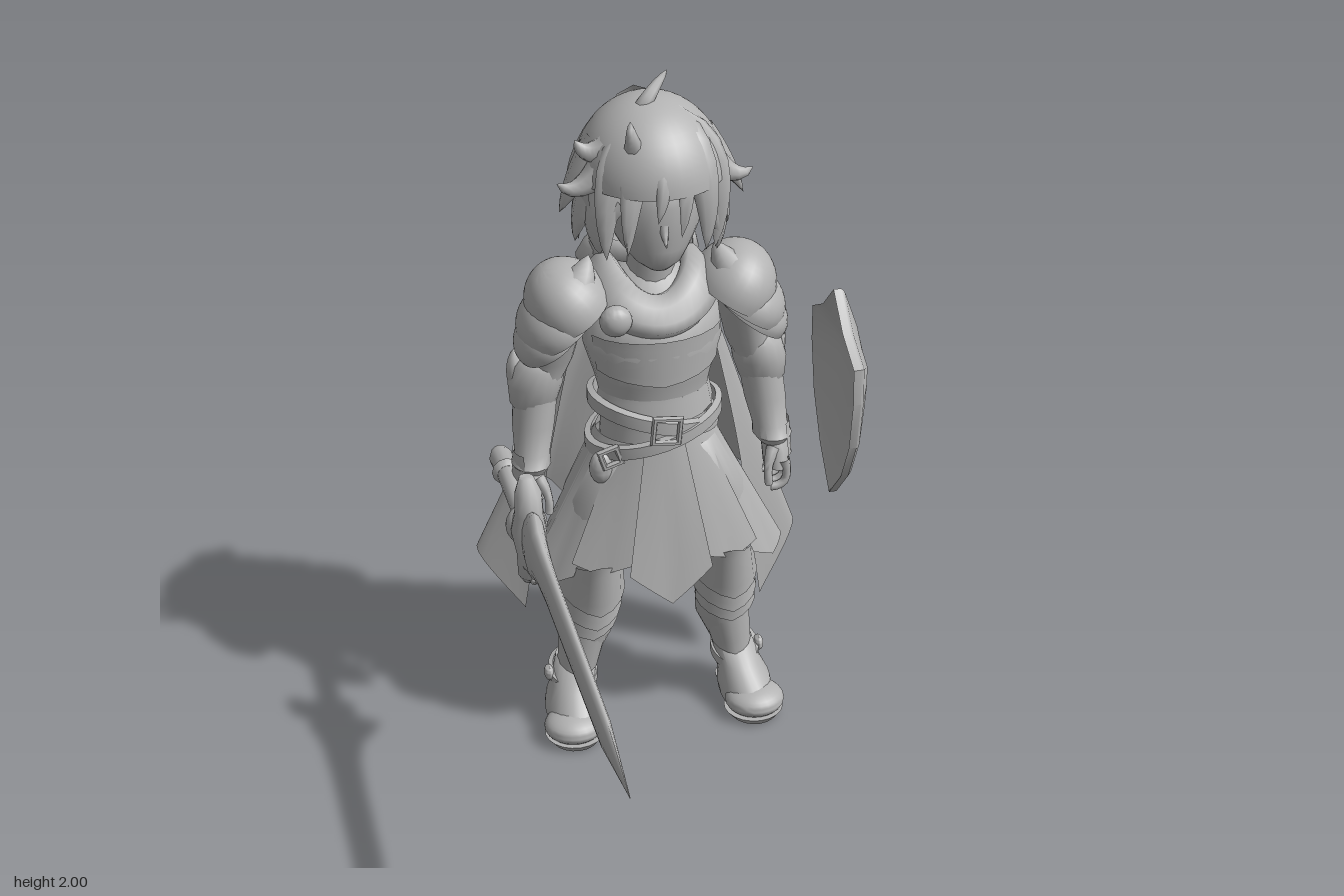
import * as THREE from 'three';
import { toCreasedNormals } from 'three/addons/utils/BufferGeometryUtils.js';

const CX = -0.04; // body centre line
const V = (x, y, z) => new THREE.Vector3(x, y, z);

export function createModel() {
  const model = new THREE.Group();
  const grey = new THREE.MeshStandardMaterial({ color: 0xb3b3b3, side: THREE.DoubleSide });
  grey.name = 'clayGrey';

  function part(name, geo, crease = 0.9) {
    const mesh = new THREE.Mesh(toCreasedNormals(geo, crease), grey);
    mesh.name = name;
    model.add(mesh);
  }

  // Surface through rows of points
  function surface(rows) {
    const n = rows[0].length, pos = [], idx = [];
    rows.forEach(r => r.forEach(p => pos.push(p.x, p.y, p.z)));
    for (let i = 0; i < rows.length - 1; i++) for (let j = 0; j < n - 1; j++) {
      const a = i * n + j, c = a + n;
      idx.push(a, c, a + 1, a + 1, c, c + 1);
    }
    const g = new THREE.BufferGeometry();
    g.setAttribute('position', new THREE.Float32BufferAttribute(pos, 3));
    g.setIndex(idx);
    g.computeVertexNormals();
    return g;
  }

  // Closed solid from horizontal ellipses [x, y, z, rx, rz]
  function loft(list, seg = 20, ox = 0, s = 1) {
    const r = list[0][1] > list[list.length - 1][1] ? [...list].reverse() : list;
    const a = r[0], b = r[r.length - 1];
    const all = [[a[0], a[1], a[2], 0, 0], ...r, [b[0], b[1], b[2], 0, 0]];
    return surface(all.map(([x, y, z, rx, rz]) => Array.from({ length: seg + 1 }, (_, j) => {
      const t = j / seg * Math.PI * 2;
      return V(ox + s * x + rx * Math.cos(t), y, z + rz * Math.sin(t));
    })));
  }

  // Flat strap around an ellipse, tilted sideways (tx) and front to back (tz)
  function band(x, y, z, rx, rz, h, th, tx = 0, tz = 0) {
    const prof = [[0, -h / 2], [th, -h / 2.6], [th, h / 2.6], [0, h / 2], [0, -h / 2]];
    return surface(prof.map(([o, dy]) => Array.from({ length: 33 }, (_, j) => {
      const t = -j / 32 * Math.PI * 2, c = Math.cos(t), k = Math.sin(t);
      return V(x + (rx + o) * c, y + dy + tx * rx * c + tz * rz * k, z + (rz + o) * k);
    })));
  }

  // Curved plate between angles a0..a1 (0 = front); the middle of top and hem may be pointed
  function plate(x, z, a0, a1, [y0, rx0, rz0], [y1, rx1, rz1], up, down, dx = 0) {
    const rows = [];
    for (let i = 0; i <= 5; i++) {
      const t = i / 5, row = [];
      for (let j = 0; j <= 8; j++) {
        const a = a0 + (a1 - a0) * j / 8, k = 1 - Math.abs(j - 4) / 4;
        row.push(V(x + dx * t + (rx0 + (rx1 - rx0) * t) * Math.sin(a),
          (y0 + up * k) * (1 - t) + (y1 - down * k) * t,
          z + (rz0 + (rz1 - rz0) * t) * Math.cos(a)));
      }
      rows.push(row);
    }
    return surface(rows);
  }

  // Tapered curved lock or finger, optionally flattened along a direction
  function lock(p0, p1, p2, w, tip = 0, flat = V(0, 0, 0)) {
    const curve = new THREE.QuadraticBezierCurve3(V(...p0), V(...p1), V(...p2));
    const g = new THREE.TubeGeometry(curve, 8, w, 8), p = g.attributes.position;
    for (let i = 0; i < p.count; i++) {
      const t = Math.floor(i / 9) / 8, c = curve.getPointAt(t);
      const o = V(p.getX(i), p.getY(i), p.getZ(i)).sub(c).multiplyScalar(Math.max(tip, Math.pow(1 - t, 0.7)));
      o.addScaledVector(flat, -0.65 * o.dot(flat)).add(c);
      p.setXYZ(i, o.x, o.y, o.z);
    }
    return g;
  }
  const ball = (x, y, z, rx, ry, rz) => new THREE.SphereGeometry(1, 24, 16).scale(rx, ry, rz).translate(x, y, z);

  // Head and neck
  part('head', loft([[0, 1.505, -0.465, 0.03, 0.03], [0, 1.53, -0.48, 0.065, 0.07], [0, 1.57, -0.51, 0.098, 0.105],
    [0, 1.62, -0.53, 0.125, 0.135], [0, 1.7, -0.54, 0.14, 0.145], [0, 1.8, -0.55, 0.13, 0.14]], 28, CX), 1.5);
  part('nose', lock([CX, 1.65, -0.405], [CX, 1.61, -0.385], [CX, 1.60, -0.37], 0.015));
  part('neck', loft([[0, 1.4, -0.58, 0.07, 0.07], [0, 1.58, -0.55, 0.06, 0.06]], 16, CX));
  for (const s of [-1, 1]) part('ear', ball(CX + s * 0.14, 1.64, -0.55, 0.02, 0.04, 0.03));

  // Hair: skull cap, hanging locks, parted fringe and stray tufts
  part('hairCap', new THREE.SphereGeometry(1, 32, 14, 0, Math.PI * 2, 0, Math.PI * 0.48).scale(0.203, 0.22, 0.222).translate(CX, 1.742, -0.555), 1.5);
  part('hairBack', new THREE.SphereGeometry(1, 28, 10, Math.PI - 0.4, Math.PI + 0.8, Math.PI * 0.45, Math.PI * 0.3)
    .scale(0.203, 0.22, 0.222).translate(CX, 1.742, -0.555), 1.5);
  const hang = (a, y, r0, r1, r2, drop, w) => {
    const S = Math.sin(a), C = Math.cos(a), at = (r, h) => [CX + S * r, h, -0.56 + C * r];
    part('hairLock', lock(at(r0, y), at(r1, y - drop * 0.5), at(r2, y - drop), w, 0, V(S, 0, C)), 1.5);
  };
  for (let i = 0; i < 11; i++) hang(1.05 + i * 0.419, 1.71, 0.165, 0.215, 0.185 + (i * 7 % 5) * 0.01, 0.175 - (i * 3 % 4) * 0.012, 0.072);
  for (const a of [1.5, 2.3, 4.0, 4.8]) hang(a, 1.82, 0.15, 0.225, 0.255, 0.16, 0.075);
  const front = V(0, 0, 1);
  for (const [a, b, x, y, z, w] of [ // root x, middle x, tip x, tip y, tip z, width
    [-0.02, -0.1, -0.105, 1.59, -0.37, 0.06], [0.01, 0.0, -0.03, 1.69, -0.335, 0.05], [0.03, 0.07, 0.035, 1.64, -0.345, 0.045],
    [0.05, 0.13, 0.11, 1.58, -0.38, 0.065], [-0.04, -0.165, -0.15, 1.555, -0.43, 0.065], [0.06, 0.185, 0.15, 1.555, -0.44, 0.065]])
    part('fringeLock', lock([CX + a, 1.88, -0.51], [CX + b, 1.85, z + 0.025], [CX + x, y, z], w, 0, front), 1.5);
  for (const [p, q, t, w] of [
    [[0.08, 1.82, -0.5], [0.17, 1.71, -0.48], [0.225, 1.76, -0.48], 0.055],
    [[-0.16, 1.82, -0.5], [-0.25, 1.71, -0.48], [-0.31, 1.77, -0.48], 0.055],
    [[-0.16, 1.85, -0.5], [-0.23, 1.82, -0.5], [-0.255, 1.88, -0.5], 0.045],
    [[-0.11, 1.86, -0.43], [-0.13, 1.93, -0.38], [-0.12, 1.945, -0.43], 0.03],
    [[-0.04, 1.86, -0.7], [-0.03, 1.79, -0.78], [-0.03, 1.79, -0.825], 0.07],
    [[-0.07, 1.93, -0.53], [-0.05, 1.985, -0.51], [0.025, 2.0, -0.62], 0.025]]) part('hairTuft', lock(p, q, t, w), 1.4);

  // Torso and breastplate
  part('torso', loft([[0, 0.88, -0.56, 0.16, 0.125], [0, 1.0, -0.56, 0.15, 0.12], [0, 1.08, -0.56, 0.15, 0.12],
    [0, 1.15, -0.56, 0.165, 0.135], [0, 1.25, -0.56, 0.195, 0.15], [0, 1.33, -0.575, 0.19, 0.14],
    [0, 1.40, -0.59, 0.14, 0.1], [0, 1.47, -0.59, 0.07, 0.07]], 32, CX), 1.5);
  part('breastplate', plate(CX, -0.56, -1.2, 1.2, [1.3, 0.195, 0.152], [1.19, 0.182, 0.149], 0, 0.03));
  part('waistPlate', plate(CX, -0.56, -1.5, 1.5, [1.11, 0.158, 0.13], [1.05, 0.17, 0.142], 0, 0.02));

  // Draped collar dipping at the throat, hood and brooch
  part('collar', surface([[0.085, 0.085, 1.43, 0.03], [0.088, 0.095, 1.475, 0.07], [0.108, 0.118, 1.5, 0.085], [0.145, 0.155, 1.475, 0.085],
    [0.182, 0.185, 1.425, 0.07], [0.192, 0.192, 1.385, 0.055], [0.175, 0.165, 1.355, 0.05]].map(([rx, rz, y, dip]) =>
    Array.from({ length: 41 }, (_, j) => {
      const a = j / 40 * Math.PI * 2, c = Math.cos(a);
      return V(CX + rx * Math.sin(a), y - dip * Math.max(0, c) ** 2, -0.59 + rz * c);
    }))), 1.5);
  part('hood', loft([[0, 1.275, -0.79, 0.03, 0.03], [0, 1.31, -0.775, 0.09, 0.06], [0, 1.37, -0.75, 0.15, 0.1],
    [0, 1.43, -0.73, 0.175, 0.11], [0, 1.48, -0.70, 0.16, 0.105], [0, 1.51, -0.69, 0.125, 0.08]], 28, CX), 1.5);
  part('hoodRim', band(CX, 1.49, -0.68, 0.125, 0.105, 0.06, 0.02, 0, 0.1), 1.5);
  part('brooch', ball(-0.17, 1.375, -0.425, 0.045, 0.045, 0.035));

  // Cape: control rows from shoulders to the pointed hem
  const capeRows = [
    [[-.2, 1.38, -.66], [-.19, 1.4, -.7], [-.13, 1.42, -.75], [-.04, 1.42, -.77], [.05, 1.42, -.75], [.11, 1.4, -.7], [.12, 1.38, -.66]],
    [[-.25, 1.15, -.68], [-.28, 1.15, -.72], [-.17, 1.15, -.81], [-.04, 1.15, -.82], [.09, 1.15, -.81], [.2, 1.15, -.72], [.17, 1.15, -.68]],
    [[-.32, .8, -.69], [-.39, .82, -.75], [-.24, .88, -.87], [-.04, .8, -.87], [.18, .88, -.87], [.31, .82, -.75], [.24, .8, -.69]],
    [[-.40, .31, -.71], [-.525, .5, -.785], [-.29, .62, -.93], [-.04, .31, -.885], [.26, .62, -.93], [.44, .45, -.785], [.32, .24, -.72]]];
  const across = capeRows.map(r => new THREE.CatmullRomCurve3(r.map(p => V(...p)), false, 'catmullrom', 0.25).getPoints(48));
  const columns = across[0].map((_, j) => new THREE.CatmullRomCurve3(across.map(r => r[j])).getPoints(16));
  part('cape', surface(columns), 1.2);

  // Skirt panels, mirrored around the hips
  part('tabard', plate(CX, -0.55, -0.34, 0.34, [0.98, 0.17, 0.14], [0.6, 0.36, 0.21], 0, 0.1));
  for (const s of [-1, 1]) for (const [a0, a1, y1, rx, rz, d] of [
    [0.28, 0.85, 0.62, 0.36, 0.185, 0.03], [0.78, 1.4, 0.57, 0.375, 0.16, 0.04],
    [1.35, 2.0, 0.6, 0.36, 0.14, 0.03], [1.95, 2.6, 0.62, 0.3, 0.14, 0.04], [2.55, 3.14, 0.62, 0.27, 0.14, 0.03]])
    part('skirtPanel', plate(CX, -0.555, s * a0, s * a1, [0.98, 0.165, 0.135], [y1, rx, rz], 0, d));

  // Crossed belts and buckles
  part('upperBelt', band(CX, 1.035, -0.56, 0.168, 0.143, 0.05, 0.018, -0.26));
  part('lowerBelt', band(CX, 0.985, -0.56, 0.178, 0.148, 0.045, 0.018, 0.28));
  for (const [x, y, z, r, rot] of [[CX, 1.035, -0.392, 0.052, -0.1], [-0.19, 0.945, -0.44, 0.035, 0.3]])
    part('buckle', new THREE.TorusGeometry(r, 0.011, 6, 4).rotateZ(Math.PI / 4 + rot).translate(x, y, z));
  part('pouch', ball(-0.21, 0.9, -0.47, 0.035, 0.05, 0.03));

  for (const s of [-1, 1]) {
    const X = x => CX + s * x;
    // Layered shoulder armour with a raised inner crest
    [[0.23, 1.37, 0.118, 0.135, 0.142], [0.265, 1.325, 0.118, 0.1, 0.138], [0.287, 1.285, 0.108, 0.08, 0.12]].forEach(([x, y, rx, ry, rz], i) =>
      part('shoulderPlate', new THREE.SphereGeometry(1, 28, 12, 0, Math.PI * 2, 0, Math.PI * 0.55)
        .scale(rx, ry, rz).rotateZ(-s * (0.55 + i * 0.03)).translate(X(x), y, -0.565), 1.2));
    part('shoulderCrest', lock([X(0.24), 1.40, -0.52], [X(0.2), 1.46, -0.52], [X(0.175), 1.52, -0.55], 0.075), 1.4);

    // Arm, elbow cuff, gauntlet and hand
    part('upperArm', loft([[0.25, 1.36, -0.57, 0.07, 0.08], [0.28, 1.2, -0.60, 0.062, 0.07], [0.32, 1.08, -0.62, 0.05, 0.055],
      [0.35, 0.9, -0.57, 0.035, 0.04]], 18, CX, s));
    part('elbowCuff', loft([[0.3, 1.2, -0.61, 0.055, 0.06], [0.31, 1.18, -0.61, 0.072, 0.075], [0.322, 1.12, -0.615, 0.078, 0.075],
      [0.33, 1.06, -0.615, 0.066, 0.068], [0.33, 1.04, -0.61, 0.05, 0.05]], 18, CX, s), 1.3);
    part('elbowPoint', lock([X(0.35), 1.11, -0.62], [X(0.385), 1.16, -0.62], [X(0.378), 1.225, -0.62], 0.045));
    part('gauntlet', loft([[0.325, 1.08, -0.61, 0.062, 0.065], [0.335, 1.0, -0.60, 0.06, 0.064], [0.345, 0.92, -0.58, 0.05, 0.055],
      [0.35, 0.89, -0.57, 0.056, 0.065], [0.35, 0.87, -0.565, 0.04, 0.05]], 18, CX, s));
    part('handGuard', plate(X(0.35), -0.575, s * 0.6, s * 2.8, [0.93, 0.05, 0.06], [0.84, 0.055, 0.09], 0, 0.02));
    part('palm', loft([[0.35, 0.9, -0.57, 0.035, 0.04], [0.357, 0.85, -0.555, 0.04, 0.055], [0.355, 0.8, -0.545, 0.035, 0.055]], 14, CX, s));
    for (let i = 0; i < 4; i++) {
      const z = -0.502 - i * 0.029;
      part('finger', lock([X(0.368), 0.83, z], [X(0.395), 0.745, z + 0.005], [X(0.33), 0.745 + i * 0.004, z], 0.017, 0.75));
    }
    part('thumb', lock([X(0.34), 0.86, -0.52], [X(0.31), 0.82, -0.485], [X(0.32), 0.765, -0.485], 0.02, 0.6));

    // Leg, greave and layered knee plates stepping back down the shin
    part('leg', loft([[0.09, 0.95, -0.56, 0.085, 0.12], [0.15, 0.78, -0.56, 0.11, 0.125], [0.185, 0.62, -0.56, 0.098, 0.115],
      [0.195, 0.5, -0.565, 0.078, 0.085], [0.2, 0.4, -0.575, 0.076, 0.08], [0.205, 0.3, -0.585, 0.077, 0.08],
      [0.232, 0.19, -0.6, 0.055, 0.058], [0.25, 0.08, -0.595, 0.052, 0.058]], 22, CX, s), 1.5);
    for (const [x, y0, y1, r0, r1, z0, z1, up] of [[0.192, 0.575, 0.49, 0.085, 0.1, 0.175, 0.155, 0.05],
      [0.197, 0.505, 0.425, 0.08, 0.096, 0.13, 0.125, 0.015], [0.202, 0.435, 0.37, 0.078, 0.09, 0.1, 0.09, 0.01]])
      part('kneePlate', plate(X(x), -0.555, -1.55, 1.55, [y0, r0, z0], [y1, r1, z1], up, 0.045, s * 0.005));
    part('kneeStrap', band(X(0.198), 0.45, -0.57, 0.074, 0.081, 0.03, 0.012));
    part('greave', plate(X(0.202), -0.582, -1.7, 1.7, [0.37, 0.08, 0.084], [0.2, 0.06, 0.066], 0, 0.03, s * 0.03));

    // Boot turned slightly outward, with sole, heel and ankle strap
    part('boot', loft([[0.262, 0.02, -0.535, 0.07, 0.142], [0.264, 0.05, -0.53, 0.078, 0.146], [0.262, 0.09, -0.54, 0.075, 0.12],
      [0.252, 0.13, -0.57, 0.064, 0.085], [0.235, 0.2, -0.6, 0.06, 0.062]], 24, CX, s), 1.3);
    part('sole', loft([[0.272, 0, -0.46, 0.07, 0.075], [0.272, 0.022, -0.46, 0.088, 0.09]], 20, CX, s));
    part('heel', loft([[0.253, 0, -0.625, 0.045, 0.052], [0.253, 0.03, -0.625, 0.055, 0.058]], 16, CX, s));
    part('toeCap', ball(X(0.274), 0.05, -0.455, 0.088, 0.045, 0.085));
    part('ankleStrap', band(X(0.247), 0.15, -0.59, 0.058, 0.068, 0.035, 0.014, 0, -0.35));
    part('ankleStud', ball(X(0.32), 0.155, -0.585, 0.014, 0.024, 0.024));
  }

  // Sword lying along z in the right hand: built upright, then laid forward
  const SX = -0.45, SY = 0.825;
  const lay = g => g.rotateX(Math.PI / 2).translate(SX, SY, 0);
  part('blade', lay(loft([[0, -0.27, 0, 0.03, 0.085], [0, -0.22, 0, 0.032, 0.108], [0, -0.17, 0, 0.028, 0.082], [0, -0.1, 0, 0.024, 0.065],
    [0, 0, 0, 0.021, 0.058], [0, 0.66, 0, 0.017, 0.055], [0, 0.93, 0, 0.001, 0.001]], 16)), 1.2);
  part('grip', lay(new THREE.CylinderGeometry(0.026, 0.03, 0.42, 14).translate(0, -0.48, 0)));
  part('pommel', lay(loft([[0, -0.75, 0, 0.025, 0.025], [0, -0.72, 0, 0.035, 0.035], [0, -0.66, 0, 0.03, 0.03],
    [0, -0.64, 0, 0.042, 0.042], [0, -0.62, 0, 0.03, 0.03]], 12)));
  part('crossGuard', loft([[SX, 0.66, -0.32, 0.02, 0.02], [SX, 0.7, -0.29, 0.038, 0.04], [SX, 0.77, -0.29, 0.04, 0.05],
    [SX, 0.83, -0.31, 0.05, 0.07], [SX, 0.89, -0.30, 0.04, 0.05], [SX, 0.95, -0.30, 0.038, 0.04], [SX, 0.99, -0.32, 0.02, 0.02]], 12), 1.2);
  part('guardHook', lock([SX, SY - 0.08, -0.26], [SX, SY - 0.15, -0.28], [SX, SY - 0.12, -0.235], 0.03));
  part('guardJewel', ball(SX, SY, -0.345, 0.058, 0.06, 0.05));

  // Kite shield floating beside the left arm: outline in (z, y), domed outwards
  const outline = [[-.395, 1.41], [-.3, 1.32], [-.19, 1.265], [-.187, 1.16], [-.215, 1.01], [-.285, .88], [-.39, .77],
    [-.49, .88], [-.56, 1.01], [-.592, 1.16], [-.59, 1.265], [-.49, 1.32], [-.395, 1.41]];
  const ring = (k, x) => outline.map(([z, y]) => V(x, 1.17 + (y - 1.17) * k, -0.39 + (z + 0.39) * k));
  part('shield', surface([ring(0, 0.49), ring(0.5, 0.472), ring(0.94, 0.44), ring(1, 0.43), ring(1, 0.452),
    ring(0.96, 0.462), ring(0.5, 0.5), ring(0.2, 0.516), ring(0, 0.52)]), 0.7);
  return model;
}
